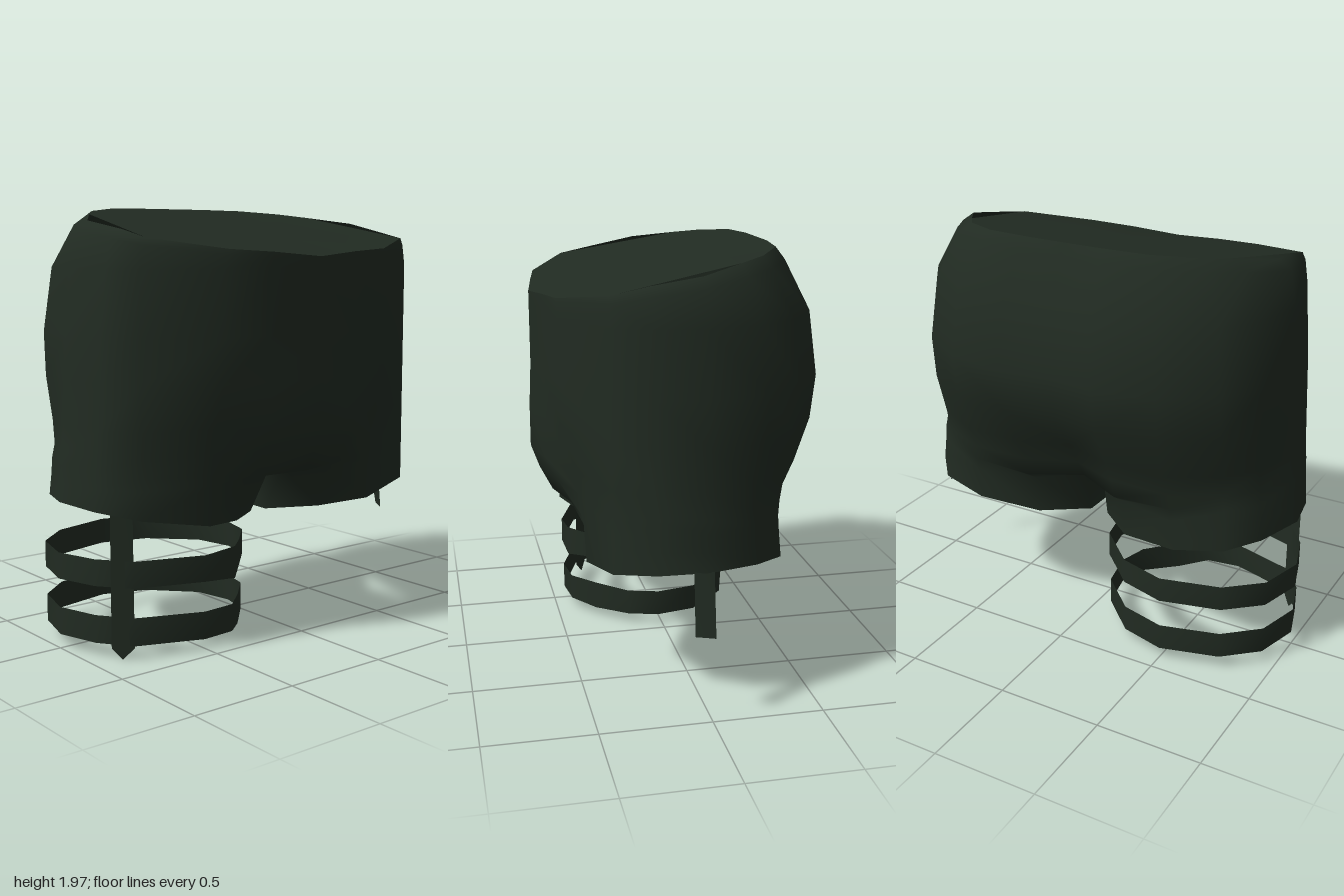
import * as THREE from 'three';
import { mergeVertices } from 'three/addons/utils/BufferGeometryUtils.js';

const CX = -0.025; // symmetry plane of the shorts

// Half outline at the hips, from front centre round the side to back centre: [x, z]
const OUTLINE = [[0, 0.64], [0.25, 0.61], [0.48, 0.57], [0.79, 0.39], [0.88, 0.22], [0.92, 0],
  [0.87, -0.27], [0.75, -0.44], [0.52, -0.59], [0.235, -0.645], [0, -0.6]];

// Adapts the outline to one level. tilt raises the back, flare raises the outer side,
// front, side and back scale the width, the caps flatten front and back,
// bulge sets how far the fullness at the front centre spreads sideways.
// A level with inner is a closed leg ring whose inner side lies at that x.
function ring({ y, tilt = 0, flare = 0, front = 1, side = 1, back = 1, frontZ = 0.64, frontCap = 0.57, bulge = 0.5,
  backZ = -0.6, backCap = 0.65, backScale = 1, inner }) {
  const lift = (x, z) => y + tilt * Math.max(0, (0.64 - z) / 1.09) ** 0.7 + flare * (x / 0.965) ** 1.5;
  const points = OUTLINE.map(([x, z], u) => {
    const centre = u === 0 || u === 10;
    const px = centre ? inner ?? 0 : x * (u < 4 ? front : u < 6 ? side : back);
    let pz = z < 0 ? Math.max(z * backScale, -backCap) : Math.min(z, frontCap);
    if (u === 0) pz = frontZ;
    if (u === 1) pz = frontZ * bulge + frontCap * (1 - bulge);
    if (u === 9 && inner) pz = backZ * 0.3 - backCap * 0.7;
    if (u === 10) pz = backZ;
    return [px, lift(px, pz), pz];
  });
  if (inner !== undefined) points.push([inner, lift(inner, 0.05), 0.05]);
  return points;
}

// Levels from waist rim to leg hem
const rows = [
  { y: 1.74, tilt: 0.225, front: 0.96, side: 0.865, back: 0.765, backScale: 0.72, backCap: 0.45, backZ: -0.45 },
  { y: 1.72, tilt: 0.19, front: 0.98, side: 0.935, back: 0.85, backScale: 0.77, backZ: -0.48 },
  { y: 1.69, side: 0.965, back: 0.955, backScale: 0.945, backZ: -0.57 },
  { y: 1.4 },
  { y: 1.2, side: 1.01, back: 1, backScale: 0.96, backCap: 0.61, backZ: -0.56, frontZ: 0.65, frontCap: 0.56 },
  { y: 1.0, side: 1.02, back: 0.985, frontZ: 0.65, frontCap: 0.5, bulge: 0.7, backScale: 0.85, backCap: 0.5, backZ: -0.42 },
  { y: 0.89, side: 1.03, back: 0.985, frontZ: 0.61, frontCap: 0.48, bulge: 0.55, backScale: 0.8, backCap: 0.45, backZ: -0.36 },
  { y: 0.768, tilt: 0.03, flare: 0.04, side: 1.035, back: 1, frontZ: 0.55, frontCap: 0.475, bulge: 0.25, backScale: 0.81, backCap: 0.435, backZ: -0.3, inner: 0 },
  { y: 0.75, side: 1.04, back: 1.005, frontZ: 0.34, frontCap: 0.47, bulge: 0.35, backScale: 0.82, backCap: 0.425, backZ: -0.2, inner: 0.045 },
  { y: 0.515, tilt: 0.03, flare: 0.13, side: 1.048, back: 1.015, frontZ: 0.21, frontCap: 0.46, bulge: 0.4, backScale: 0.84, backCap: 0.41, backZ: -0.16, inner: 0.045 },
].map(ring);

function geometryFrom(points, index) {
  const g = new THREE.BufferGeometry();
  g.setAttribute('position', new THREE.Float32BufferAttribute(points.flat(), 3));
  g.setIndex(index);
  const merged = mergeVertices(g, 1e-4);
  merged.computeVertexNormals();
  return merged;
}

// Both mirrored halves of the shorts, welded along the centre line
function shortsGeometry() {
  const points = [], index = [];
  for (const side of [1, -1]) {
    const starts = rows.map((row) => {
      const start = points.length;
      row.forEach(([x, y, z]) => points.push([CX + side * x, y, z]));
      return start;
    });
    for (let r = 0; r < rows.length - 1; r++) {
      const n = rows[r].length;
      const spans = n === 12 ? 12 : 10;
      for (let u = 0; u < spans; u++) {
        const v = (u + 1) % n;
        const a = starts[r] + u, b = starts[r] + v, c = starts[r + 1] + u, d = starts[r + 1] + v;
        if (side > 0) index.push(a, c, d, a, d, b);
        else index.push(a, d, c, a, b, d);
      }
    }
  }
  return geometryFrom(points, index);
}

// Sloping panel across the waist, leaving slits at the hips
function waistGeometry() {
  const edge = rows[0].filter((p, i) => i !== 4 && i !== 5);
  const points = [], index = [];
  for (const side of [1, -1]) edge.forEach(([x, y, z]) => points.push([CX + side * x, y, z]));
  points.push([CX, 1.86, 0.1]);
  const n = edge.length, centre = 2 * n;
  for (let i = 0; i < n - 1; i++) index.push(centre, i, i + 1, centre, n + i + 1, n + i);
  return geometryFrom(points, index);
}

// Open band round the thigh; loop points are [x, z, top, bottom]
function bandGeometry(loop) {
  const points = [], index = [], n = loop.length;
  loop.forEach(([x, z, top, bottom]) => points.push([x, top, z], [x, bottom, z]));
  for (let i = 0; i < n; i++) {
    const a = 2 * i, b = 2 * ((i + 1) % n);
    index.push(a, b, b + 1, a, b + 1, a + 1);
  }
  return geometryFrom(points, index);
}

// Ribbon through pairs of left and right edge points
function ribbonGeometry(pairs) {
  const index = [];
  for (let i = 0; i < pairs.length - 1; i++) {
    const a = 2 * i;
    index.push(a, a + 2, a + 3, a, a + 3, a + 1);
  }
  return geometryFrom(pairs.flat(), index);
}

export function createModel() {
  const group = new THREE.Group();
  const cloth = new THREE.MeshStandardMaterial({ color: 0x212b22 });
  cloth.side = THREE.DoubleSide;
  cloth.name = 'dark green cloth';
  const add = (name, geometry) => {
    const mesh = new THREE.Mesh(geometry, cloth);
    mesh.name = name;
    group.add(mesh);
  };

  add('shorts', shortsGeometry());
  add('waistPanel', waistGeometry());

  // Thigh bands on the right leg
  const thigh = [[-0.05, 0.02], [-0.09, 0.17], [-0.23, 0.32], [-0.35, 0.43], [-0.52, 0.45], [-0.83, 0.345], [-0.94, 0.2],
    [-1, 0], [-0.94, -0.22], [-0.78, -0.36], [-0.5, -0.43], [-0.28, -0.365], [-0.09, -0.175]];
  add('upperThighBand', bandGeometry(thigh.map(([x, z], i) =>
    i === 3 ? [x, z + 0.01, 0.452, 0.305] : [x, z, 0.44, 0.32])));
  add('lowerThighBand', bandGeometry(thigh.map(([x, z], i) => {
    const tilt = -0.015 * (x + 0.5);
    return [x * 0.99 - 0.007, z * 0.985, 0.182 + tilt, (i === 2 ? 0.043 : 0.056) + tilt];
  })));

  // Hanging strap joining the bands, ending in a point
  add('bandStrap', ribbonGeometry([
    [[-0.905, 0.66, 0.275], [-0.825, 0.66, 0.33]],
    [[-0.905, 0.05, 0.275], [-0.825, 0.05, 0.335]],
    [[-0.866, 0, 0.3], [-0.864, 0, 0.302]],
  ]));

  // Loose strap below the left hem
  add('looseStrap', ribbonGeometry([
    [[0.925, 0.67, 0.07], [0.94, 0.67, -0.015]],
    [[0.955, 0.385, 0.07], [1, 0.39, -0.01]],
  ]));
  return group;
}
